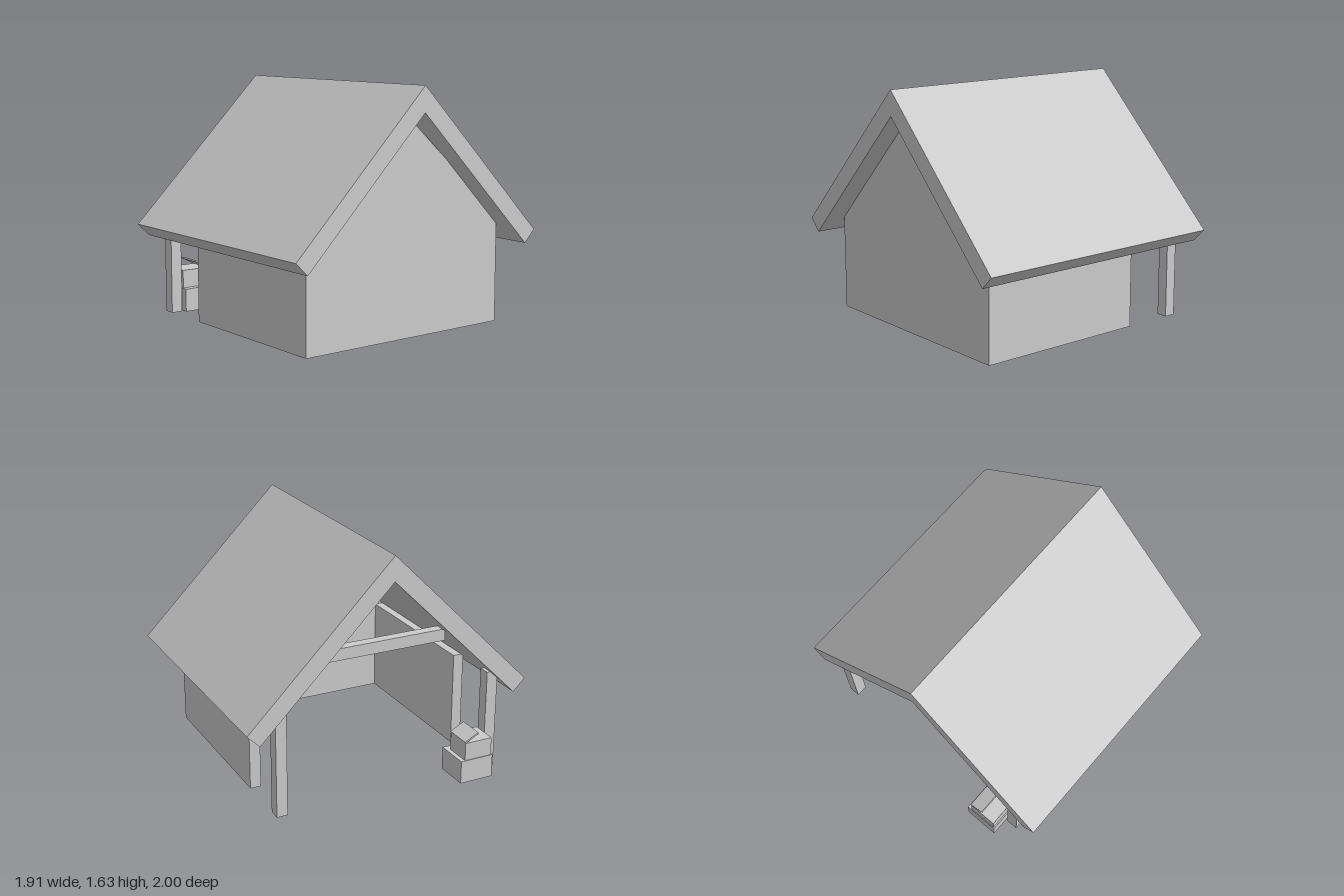
import * as THREE from 'three';

const material = new THREE.MeshStandardMaterial({ color: 0xcccccc, flatShading: true });

export function createModel() {
  const group = new THREE.Group();

  const add = (name, geometry) => {
    const mesh = new THREE.Mesh(geometry, material);
    mesh.name = name;
    group.add(mesh);
    return mesh;
  };

  // Box given by its limits on each axis
  const box = (name, [x0, x1], [y0, y1], [z0, z1]) =>
    add(name, new THREE.BoxGeometry(x1 - x0, y1 - y0, z1 - z0))
      .position.set((x0 + x1) / 2, (y0 + y1) / 2, (z0 + z1) / 2);

  // Outline of [z, y] points, extruded along x
  const profile = (name, points, x0, x1) => {
    const shape = new THREE.Shape(points.map(([z, y]) => new THREE.Vector2(-z, y)));
    const geometry = new THREE.ExtrudeGeometry(shape, { depth: x1 - x0, bevelEnabled: false });
    geometry.rotateY(Math.PI / 2).translate(x0, 0, 0);
    return add(name, geometry);
  };

  // Gabled roof slab with square-cut eaves
  profile('roof', [
    [1, 0.63], [0, 1.63], [-1, 0.63], [-0.915, 0.545], [0, 1.46], [0.915, 0.545],
  ], -0.88, 0.955);

  // Three walls, open on the porch side
  profile('gableWall', [
    [0.815, 0], [0.815, 0.65], [0.02, 1.44], [-0.32, 1.14], [-0.79, 0.727], [-0.79, 0],
  ], 0.73, 0.805);
  box('frontWall', [-0.405, 0.73], [0, 0.66], [0.74, 0.815]);
  box('backWall', [-0.405, 0.73], [0, 0.68], [-0.79, -0.715]);

  // Porch posts
  box('frontPost', [-0.83, -0.75], [0, 0.7], [0.735, 0.815]);
  box('backPost', [-0.83, -0.75], [0, 0.7], [-0.79, -0.715]);

  // Timbers under the roof
  box('collarBeam', [-0.75, -0.68], [0.95, 1.03], [-0.45, 0.45]);
  box('ridgeBeam', [-0.68, 0.74], [1.34, 1.43], [-0.035, 0.035]);

  // Stacked crates, the upper one with a tilted lid
  box('lowerCrate', [-0.96, -0.72], [0, 0.16], [0.48, 0.72]);
  box('upperCrate', [-0.955, -0.77], [0.16, 0.285], [0.51, 0.71]);
  profile('crateLid', [
    [0.51, 0.285], [0.61, 0.335], [0.605, 0.345], [0.505, 0.295],
  ], -0.955, -0.77);

  return group;
}
